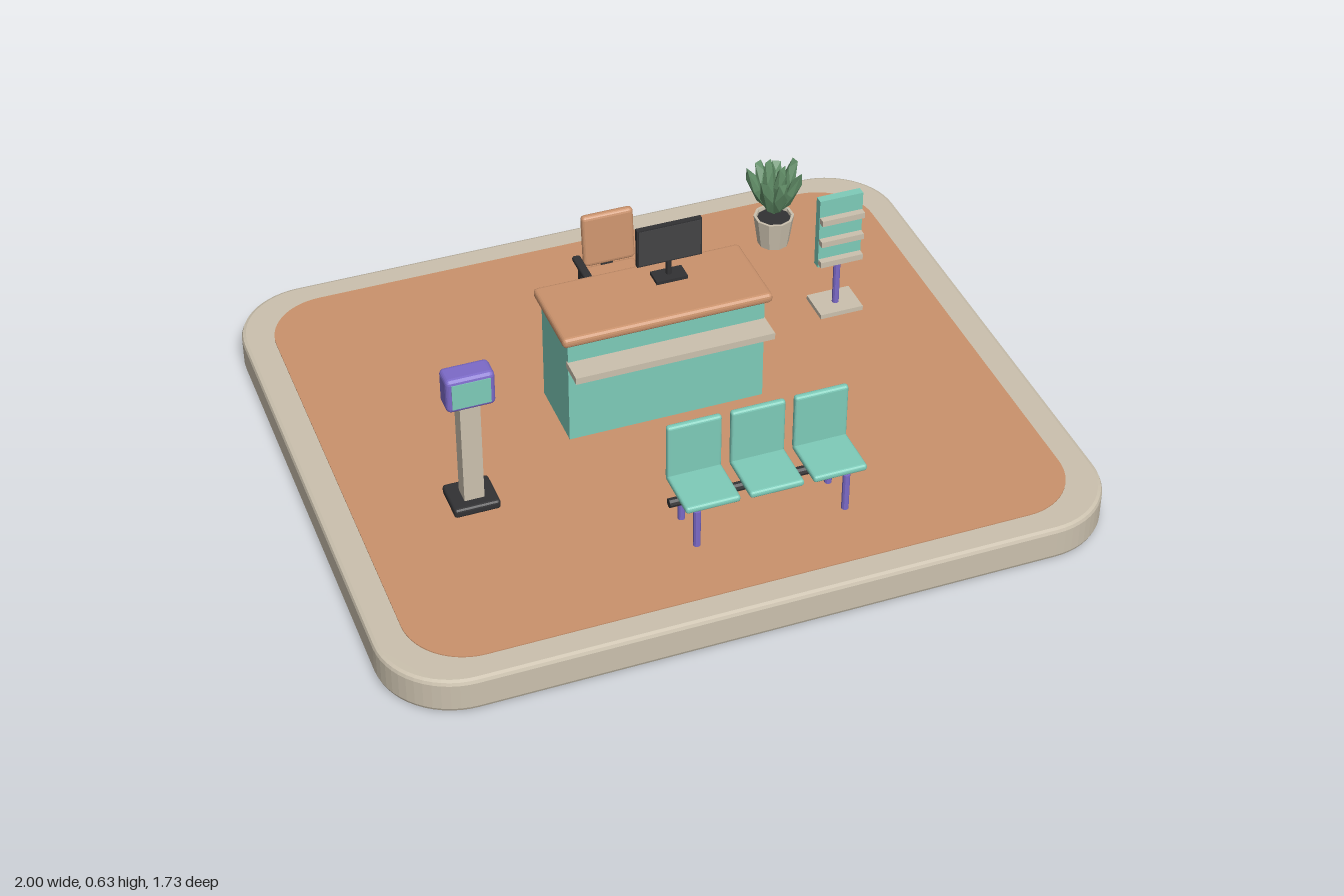
import * as THREE from 'three';
import { RoundedBoxGeometry } from 'three/addons/geometries/RoundedBoxGeometry.js';

const makeMaterial = (name, color) => {
  const m = new THREE.MeshStandardMaterial({ color, flatShading: true });
  m.name = name;
  return m;
};
const beige = makeMaterial('beige', 0xcbc1ae);
const terracotta = makeMaterial('terracotta', 0xca926c);
const teal = makeMaterial('teal', 0x7ecbb9);
const purple = makeMaterial('purple', 0x7c6ac8);
const black = makeMaterial('black', 0x323234);
const charcoal = makeMaterial('charcoal', 0x434345);
const green = makeMaterial('leaf green', 0x608c66);

function add(parent, name, geometry, material, x = 0, y = 0, z = 0) {
  const mesh = new THREE.Mesh(geometry, material);
  mesh.name = name;
  mesh.position.set(x, y, z);
  parent.add(mesh);
  return mesh;
}
function group(parent, name, x, y, z) {
  const g = new THREE.Group();
  g.name = name;
  g.position.set(x, y, z);
  parent.add(g);
  return g;
}
const box = (w, h, d) => new THREE.BoxGeometry(w, h, d);
const soft = (w, h, d, r = 0.008) => new RoundedBoxGeometry(w, h, d, 2, r);
const rod = (r, h, sides = 10) => new THREE.CylinderGeometry(r, r, h, sides);

// Horizontal rounded slab, standing on y = 0
function slab(w, d, h, r, bevel) {
  const x = w / 2 - bevel, z = d / 2 - bevel, c = r - bevel;
  const s = new THREE.Shape();
  s.moveTo(-x + c, -z);
  s.absarc(x - c, -z + c, c, -Math.PI / 2, 0);
  s.absarc(x - c, z - c, c, 0, Math.PI / 2);
  s.absarc(-x + c, z - c, c, Math.PI / 2, Math.PI);
  s.absarc(-x + c, -z + c, c, Math.PI, Math.PI * 1.5);
  const g = new THREE.ExtrudeGeometry(s, {
    depth: h - 2 * bevel, curveSegments: 7, bevelEnabled: bevel > 0,
    bevelThickness: bevel, bevelSize: bevel, bevelSegments: 2,
  });
  return g.rotateX(-Math.PI / 2).translate(0, bevel, 0);
}

function buildCounter(root) {
  const g = group(root, 'receptionCounter', 0, 0.1, -0.035);
  add(g, 'counterBody', box(0.56, 0.33, 0.215), teal, 0, 0.165, 0);
  add(g, 'counterTop', soft(0.595, 0.03, 0.255, 0.012), terracotta, 0, 0.34, 0);
  add(g, 'frontLedge', box(0.565, 0.02, 0.08), beige, 0, 0.255, 0.14);

  const m = group(root, 'monitor', 0.063, 0.455, -0.083);
  add(m, 'monitorFoot', box(0.09, 0.01, 0.052), black, 0, 0.005, 0.003);
  add(m, 'monitorStem', rod(0.008, 0.07), black, 0, 0.04, 0);
  add(m, 'monitorCase', box(0.185, 0.118, 0.015), black, 0, 0.114, 0);
  add(m, 'monitorScreen', box(0.177, 0.11, 0.002), charcoal, 0, 0.114, 0.008);
}

function buildKiosk(root) {
  const g = group(root, 'checkInKiosk', -0.603, 0.1, 0.217);
  add(g, 'kioskBase', soft(0.127, 0.028, 0.118, 0.009), black, 0, 0.014, 0);
  add(g, 'kioskColumn', box(0.055, 0.345, 0.05), beige, 0, 0.195, 0.003);
  add(g, 'kioskHead', soft(0.132, 0.104, 0.07, 0.014), purple, 0, 0.395, 0.014);
  add(g, 'kioskScreen', box(0.104, 0.076, 0.004), teal, 0, 0.395, 0.049);
}

function buildWaitingSeats(root) {
  const g = group(root, 'waitingSeats', 0.095, 0.1, 0.54);
  for (const i of [-1, 0, 1]) {
    add(g, 'seat', soft(0.15, 0.02, 0.153), teal, i * 0.176, 0.154, 0.009);
    add(g, 'seatBack', soft(0.15, 0.172, 0.02), teal, i * 0.176, 0.237, -0.06);
  }
  const beam = add(g, 'seatBeam', rod(0.013, 0.53, 10), black, 0, 0.116, -0.005);
  beam.rotation.z = Math.PI / 2;
  for (const x of [-0.208, 0.208]) {
    for (const z of [-0.062, 0.05]) add(g, 'seatLeg', rod(0.01, 0.118), purple, x, 0.059, z);
  }
}

function buildBrochureStand(root) {
  const g = group(root, 'brochureStand', 0.63, 0.1, -0.233);
  add(g, 'standBase', box(0.13, 0.017, 0.103), beige, 0, 0.0085, -0.003);
  add(g, 'standPost', rod(0.01, 0.16), purple, 0, 0.09, 0);
  add(g, 'standPanel', box(0.13, 0.225, 0.025), teal, 0, 0.273, 0);
  for (const y of [0.18, 0.25, 0.322]) {
    add(g, 'brochureTray', box(0.128, 0.018, 0.022), beige, 0, y, 0.022);
  }
}

function buildOfficeChair(root) {
  const g = group(root, 'officeChair', 0, 0.1, -0.335);
  add(g, 'chairHub', rod(0.021, 0.03), black, 0, 0.045, 0);
  add(g, 'chairColumn', rod(0.013, 0.13), black, 0, 0.105, 0);
  // Five-spoke base with casters
  for (let i = 0; i < 5; i++) {
    const spoke = group(g, 'chairSpoke', 0, 0, 0);
    spoke.rotation.y = (i * Math.PI * 2) / 5;
    const arm = add(spoke, 'spokeArm', box(0.016, 0.013, 0.09), black, 0, 0.036, 0.047);
    arm.rotation.x = 0.18;
    const caster = add(spoke, 'caster', rod(0.014, 0.014), black, 0, 0.014, 0.088);
    caster.rotation.z = Math.PI / 2;
  }
  add(g, 'chairSeat', soft(0.17, 0.033, 0.165, 0.014), terracotta, 0, 0.178, 0.002);
  const back = add(g, 'chairBack', soft(0.152, 0.16, 0.026, 0.012), terracotta, 0, 0.293, -0.062);
  back.rotation.x = -0.1;
  const spine = add(g, 'backSupport', box(0.035, 0.12, 0.01), black, 0, 0.22, -0.075);
  spine.rotation.x = -0.1;
  for (const s of [-1, 1]) {
    add(g, 'armPost', box(0.012, 0.085, 0.03), black, s * 0.094, 0.205, -0.015);
    add(g, 'armBracket', box(0.03, 0.01, 0.03), black, s * 0.085, 0.166, -0.015);
    add(g, 'armRest', soft(0.024, 0.016, 0.118, 0.006), black, s * 0.097, 0.249, 0.003);
  }
}

function buildPlant(root) {
  const g = group(root, 'pottedPlant', 0.583, 0.1, -0.585);
  const profile = [[0, 0], [0.046, 0], [0.06, 0.098], [0.052, 0.098], [0.05, 0.085], [0, 0.085]]
    .map(([r, y]) => new THREE.Vector2(r, y));
  add(g, 'pot', new THREE.LatheGeometry(profile, 10), beige);
  add(g, 'soil', rod(0.051, 0.004), black, 0, 0.086, 0);
  // Faceted leaves fanning out from the soil
  const leafGeometry = new THREE.IcosahedronGeometry(1, 0).scale(0.024, 0.08, 0.018);
  for (let i = 0; i < 9; i++) {
    const inner = i > 6;
    const leaf = group(g, 'leafPivot', 0, 0.088, 0);
    leaf.rotation.y = inner ? (i - 7) * Math.PI + 0.5 : (i * Math.PI * 2) / 7;
    const tilted = group(leaf, 'leafTilt', 0, 0, 0.008);
    tilted.rotation.x = inner ? 0.1 : 0.34 + (i % 2) * 0.06;
    add(tilted, 'leaf', leafGeometry, green, 0, inner ? 0.122 : 0.098 + (i % 3) * 0.012, 0);
  }
}

export function createModel() {
  const root = new THREE.Group();
  root.name = 'receptionArea';
  add(root, 'platform', slab(2, 1.725, 0.1, 0.21, 0.012), beige);
  add(root, 'floor', slab(1.83, 1.57, 0.006, 0.17, 0), terracotta, 0, 0.097, 0);
  buildCounter(root);
  buildKiosk(root);
  buildWaitingSeats(root);
  buildBrochureStand(root);
  buildOfficeChair(root);
  buildPlant(root);
  return root;
}
